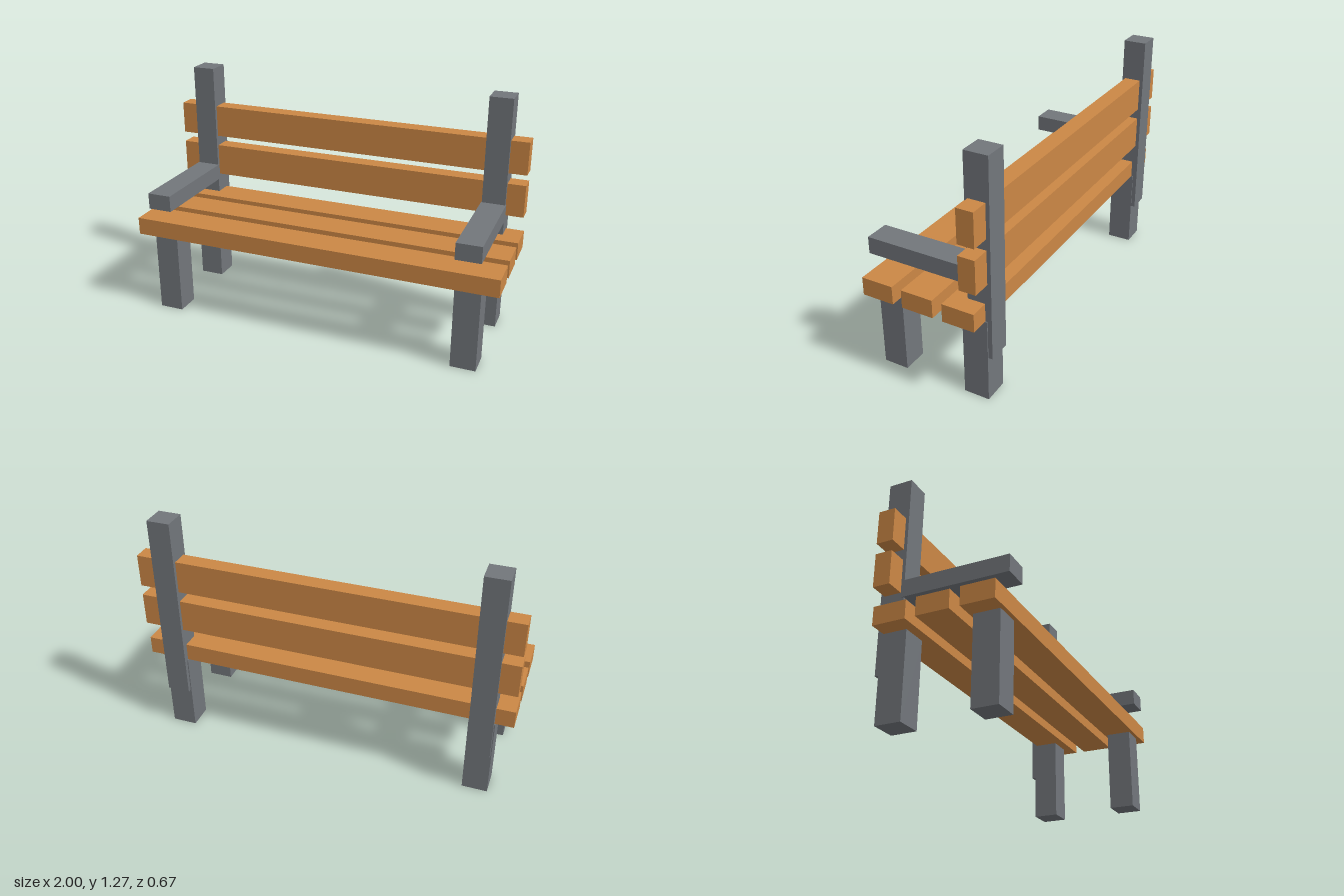
import * as THREE from 'three';

export function createModel() {
  const bench = new THREE.Group();
  bench.name = 'bench';

  const wood = new THREE.MeshStandardMaterial({ color: 0xcb8745 });
  wood.name = 'orange wood';
  const metal = new THREE.MeshStandardMaterial({ color: 0x72767b });
  metal.name = 'grey metal';

  // Box given by its extents along each axis
  function block(name, material, [x0, x1], [y0, y1], [z0, z1]) {
    const geometry = new THREE.BoxGeometry(x1 - x0, y1 - y0, z1 - z0);
    const mesh = new THREE.Mesh(geometry, material);
    mesh.position.set((x0 + x1) / 2, (y0 + y1) / 2, (z0 + z1) / 2);
    mesh.name = name;
    bench.add(mesh);
  }

  // Seat slats, front to back
  ['front', 'middle', 'back'].forEach((place, i) => {
    const z = 0.228 - i * 0.222;
    block(`${place}SeatSlat`, wood, [-1, 1], [0.443, 0.538], [z - 0.085, z + 0.085]);
  });

  // Backrest boards
  block('lowerBackBoard', wood, [-1, 1], [0.643, 0.819], [-0.315, -0.227]);
  block('upperBackBoard', wood, [-1, 1], [0.876, 1.052], [-0.315, -0.227]);

  // Legs, post and armrest on each side
  for (const [side, s] of [['left', 1], ['right', -1]]) {
    const span = (a, b) => (s > 0 ? [a, b] : [-b, -a]);
    block(`${side}FrontLeg`, metal, span(0.776, 0.909), [0, 0.443], [0.16, 0.293]);
    block(`${side}BackLeg`, metal, span(0.776, 0.909), [0, 0.443], [-0.312, -0.179]);
    block(`${side}BackPost`, metal, span(0.781, 0.904), [0.241, 1.273], [-0.334, -0.21]);
    block(`${side}Armrest`, metal, span(0.777, 0.908), [0.616, 0.704], [-0.22, 0.334]);
  }

  return bench;
}
